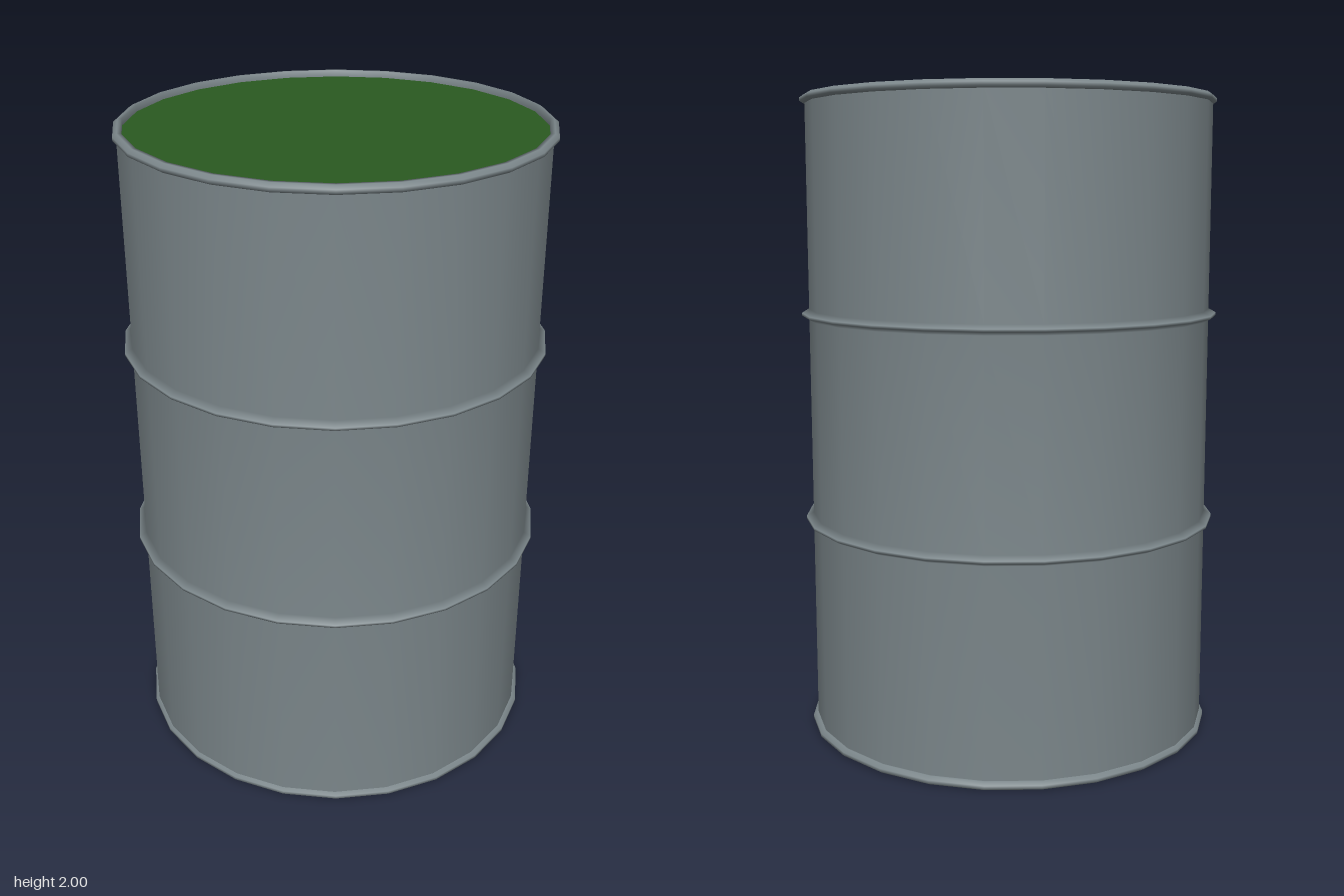
import * as THREE from 'three';

const SIDES = 24;
const R = 0.632; // wall radius

export function createModel() {
  const drum = new THREE.Group();
  drum.name = 'drum';
  const steel = new THREE.MeshStandardMaterial({ color: 0x7b868a });
  const dark = new THREE.MeshStandardMaterial({ color: 0x7b868a, side: THREE.DoubleSide });
  const green = new THREE.MeshStandardMaterial({ color: 0x2a5a20 });

  const add = (name, geometry, material, x = 0, y = 0) => {
    const mesh = new THREE.Mesh(geometry, material);
    mesh.name = name;
    mesh.position.set(x, y, 0);
    drum.add(mesh);
    return mesh;
  };
  const lathe = (pts) => new THREE.LatheGeometry(pts.map(([r, y]) => new THREE.Vector2(r, y)), SIDES);

  // Wall with two pinched hoops, shaded smoothly along its whole profile
  const wall = [[R, 0.01]];
  for (const y of [0.68, 1.33]) wall.push([R, y - 0.016], [0.655, y - 0.004], [0.655, y + 0.004], [R, y + 0.016]);
  wall.push([R, 1.985]);
  add('wall', lathe(wall), steel, -0.003);

  // Rolled rims at both ends
  const rim = lathe([[0.62, 0], [0.636, 0], [0.645, 0.006], [0.645, 0.016], [0.632, 0.025], [0.62, 0.025], [0.62, 0]]);
  add('bottomRim', rim, steel);
  add('topRim', rim, steel, 0, 1.975);

  // Recessed base plate
  const base = add('base', new THREE.CircleGeometry(0.63, SIDES), dark, 0, 0.008);
  base.rotation.x = Math.PI / 2;

  // Liquid filling the drum almost to the brim
  const liquid = add('liquid', new THREE.CircleGeometry(0.628, SIDES), green, -0.003, 1.98);
  liquid.rotation.x = -Math.PI / 2;

  return drum;
}
